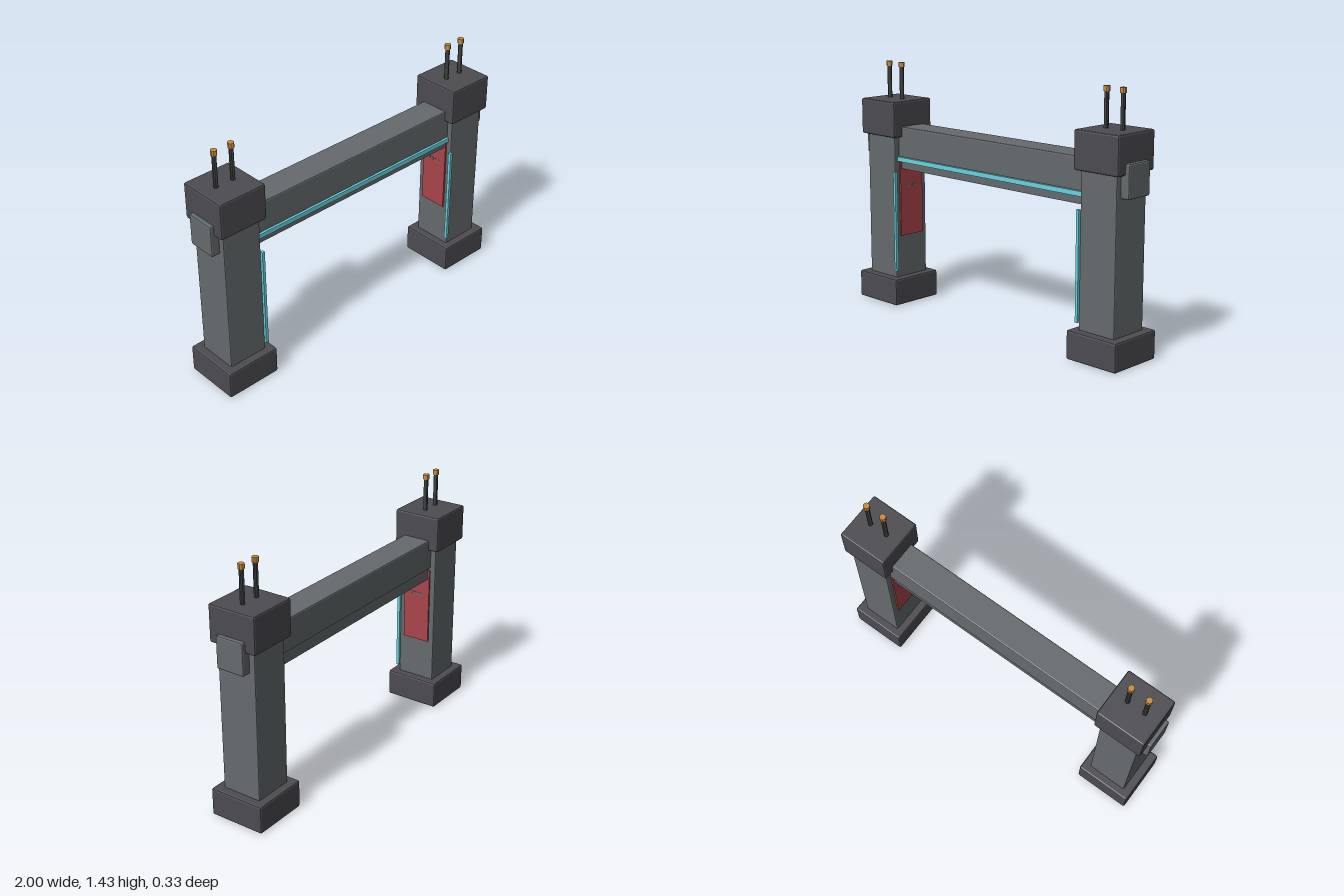
import * as THREE from 'three';
import { RoundedBoxGeometry } from 'three/addons/geometries/RoundedBoxGeometry.js';

const paint = (color) => new THREE.MeshStandardMaterial({ color, flatShading: true });
const dark = paint(0x4c4c51);
const steel = paint(0x666a6d);
const rodGrey = paint(0x3c3f42);
const cyan = paint(0x68d3e0);
const red = paint(0xa8444a);
const amber = paint(0xc88a3c);

// Box given by its limits on each axis, with an optional small chamfer
function block(name, material, [x0, x1], [y0, y1], [z0, z1], chamfer = 0) {
  const size = [x1 - x0, y1 - y0, z1 - z0];
  const geometry = chamfer
    ? new RoundedBoxGeometry(...size, 1, chamfer)
    : new THREE.BoxGeometry(...size);
  const mesh = new THREE.Mesh(geometry, material);
  mesh.name = name;
  mesh.position.set((x0 + x1) / 2, (y0 + y1) / 2, (z0 + z1) / 2);
  return mesh;
}

function post(name, material, radius, x, y0, y1) {
  const mesh = new THREE.Mesh(new THREE.CylinderGeometry(radius, radius, y1 - y0, 10), material);
  mesh.name = name;
  mesh.position.set(x, (y0 + y1) / 2, 0);
  return mesh;
}

// One tower; side is +1 for the left (+x) and -1 for the right
function createTower(side) {
  const tower = new THREE.Group();
  tower.name = side > 0 ? 'leftTower' : 'rightTower';
  const span = (a, b) => (side > 0 ? [a, b] : [-b, -a]);

  tower.add(
    block('base', dark, span(0.67, 1), [0, 0.16], [-0.165, 0.165], 0.01),
    block('pillar', steel, span(0.715, 0.95), [0.14, 1.02], [-0.118, 0.118], 0.006),
    block('cap', dark, span(0.687, 0.977), [1.005, 1.215], [-0.145, 0.145], 0.01),
    block('lightStrip', cyan, span(0.7, 0.717), [0.2, 0.8], [0.114, 0.132]),
    block('innerPanel', red, span(0.705, 0.72), [0.41, 0.87], [-0.085, 0.085])
  );

  // Small slots across the inner panel
  for (let i = 0; i < 4; i++) {
    const z = -0.0375 + i * 0.025;
    tower.add(block('panelSlot', steel, span(0.703, 0.706), [0.703, 0.717], [z - 0.008, z + 0.008]));
  }

  // Pair of antennas with amber tips
  for (const x of [0.778, 0.885]) {
    tower.add(
      post('antennaRod', rodGrey, 0.013, side * x, 1.2, 1.405),
      post('antennaTip', amber, 0.018, side * x, 1.402, 1.43)
    );
  }
  return tower;
}

export function createModel() {
  const model = new THREE.Group();
  model.name = 'gateway';
  model.add(createTower(1), createTower(-1));

  // Crossbeam running through both towers, with a lower rail and a light bar
  model.add(
    block('crossbeam', steel, [-1, 1], [0.885, 1.067], [-0.085, 0.085], 0.008),
    block('lowerRail', steel, [-0.72, 0.72], [0.815, 0.89], [-0.072, 0.072]),
    block('lightBar', cyan, [-0.716, 0.716], [0.861, 0.888], [0.07, 0.097])
  );
  return model;
}
